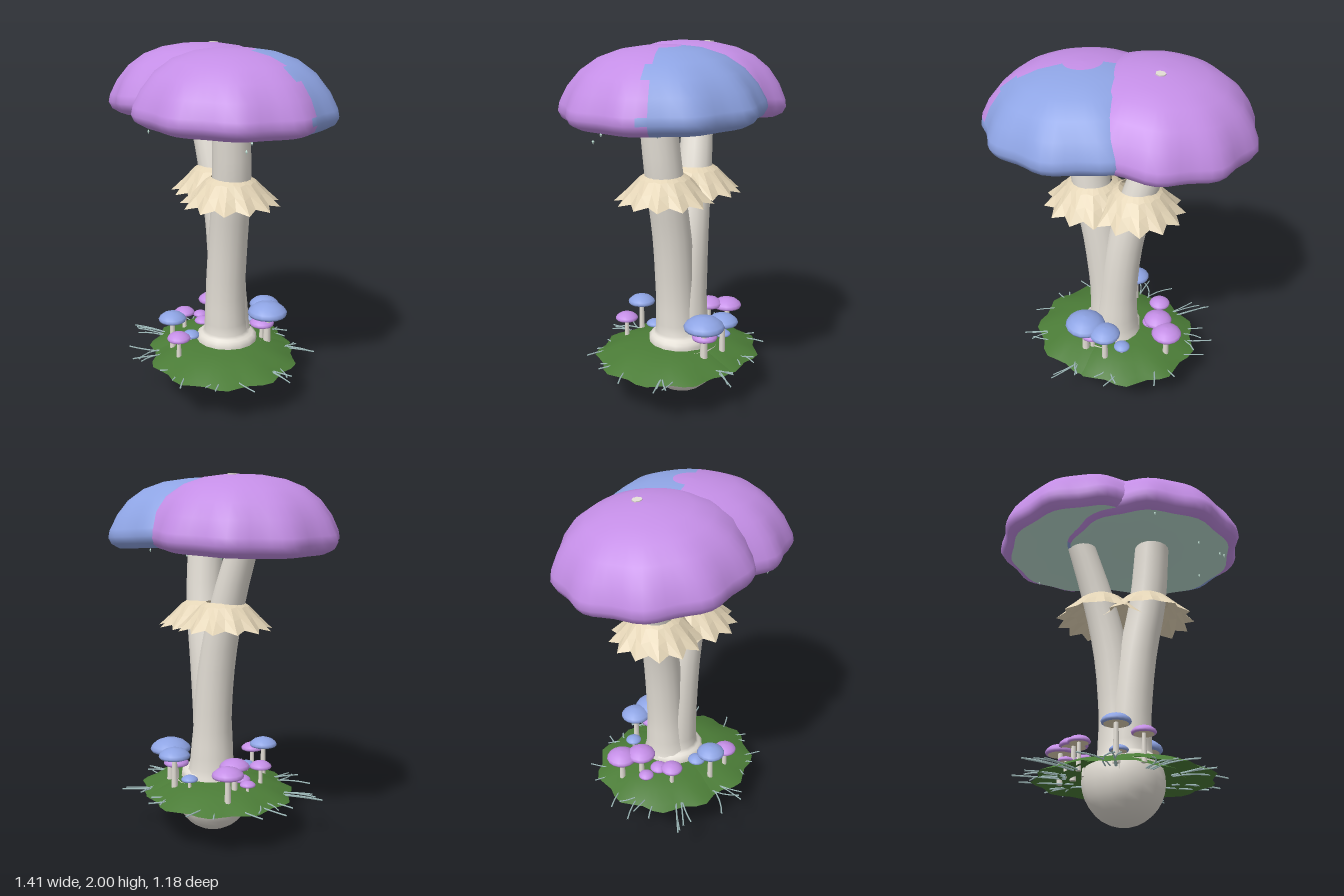
import * as THREE from 'three';

const mat = (name, color, side = THREE.FrontSide) => {
  const m = new THREE.MeshStandardMaterial({ color, side });
  m.name = name;
  return m;
};

export function createModel() {
  const root = new THREE.Group();
  root.name = 'twinMushroom';
  const purple = mat('purpleCap', 0xc48ee6);
  const blue = mat('blueCap', 0x8ea4e4);
  const cream = mat('creamStem', 0xe3ded5);
  const tan = mat('tanSkirt', 0xe3d4b6, THREE.DoubleSide);
  const gill = mat('paleTealGill', 0xbfe0d4);
  const green = mat('mossGreen', 0x4b7c37, THREE.DoubleSide);
  const blade = mat('greyGrass', 0xa4c0c0);

  let seed = 7;
  const rand = () => (seed = (seed * 16807) % 2147483647) / 2147483647;

  const add = (parent, name, geometry, material, x = 0, y = 0, z = 0) => {
    const m = new THREE.Mesh(geometry, material);
    m.name = name;
    m.position.set(x, y, z);
    parent.add(m);
    return m;
  };

  // Closed-around surface: rings run from top to bottom, point(i, angle, j) gives [x, y, z]
  const loft = (rings, segs, point, pick = () => 0) => {
    const pos = [], faces = [[], []];
    for (let i = 0; i < rings; i++)
      for (let j = 0; j < segs; j++) pos.push(...point(i, (j / segs) * Math.PI * 2, j));
    for (let i = 0; i < rings - 1; i++)
      for (let j = 0; j < segs; j++) {
        const a = i * segs + j, b = i * segs + ((j + 1) % segs);
        faces[pick(i, j)].push(a, b, a + segs, b, b + segs, a + segs);
      }
    const g = new THREE.BufferGeometry();
    g.setAttribute('position', new THREE.Float32BufferAttribute(pos, 3));
    g.setIndex([...faces[0], ...faces[1]]);
    g.addGroup(0, faces[0].length, 0);
    g.addGroup(faces[0].length, faces[1].length, 1);
    g.computeVertexNormals();
    return g;
  };

  // Profile of [radius, height] turned around y, with lobes that grow towards the rim
  const lobed = (profile, R, segs, lobes, amp, phase, pick) =>
    loft(profile.length, segs, (i, t) => {
      const [r, y] = profile[i];
      const k = R * r * (1 + amp * r ** 4 * Math.cos(lobes * (t - phase)));
      return [k * Math.cos(t), y, k * Math.sin(t)];
    }, pick);

  // Large caps with gills below
  const dome = [[0.001, 0.378], [0.19, 0.375], [0.42, 0.357], [0.62, 0.32], [0.79, 0.258],
    [0.91, 0.18], [0.985, 0.1], [1, 0.06], [0.97, 0.025], [0.89, 0]];
  const under = [[0.89, 0], [0.6, 0.02], [0.25, 0.03], [0.001, 0.03]];
  const cap = (name, x, y, z, R, phase, tiltX, tiltZ, pick) => {
    const g = new THREE.Group();
    g.name = name;
    g.position.set(x, y, z);
    g.rotation.set(tiltX, 0, tiltZ);
    root.add(g);
    add(g, name + 'Dome', lobed(dome, R, 60, 10, 0.03, phase, pick), pick ? [purple, blue] : purple);
    add(g, name + 'Gills', lobed(under, R, 60, 10, 0.03, phase), gill);
    return g;
  };
  const capA = cap('backCap', -0.182, 1.622, -0.082, 0.506, -1.36, -0.06, 0.07);
  // The blue half starts outside the crown and has a stepped border
  cap('frontCap', 0.165, 1.616, 0.042, 0.53, 1.45, 0.01, -0.03,
    (i, j) => (i > 0 && (j >= 32 || (j === 0 && i % 3 === 0)) ? 1 : 0));
  add(capA, 'capSpot', new THREE.CylinderGeometry(0.027, 0.027, 0.006, 7), cream, 0.036, 0.378, -0.063);

  // Stems: cross-sections [x, y, z, radius] from top to bottom
  const stem = (name, sections) => {
    const curve = new THREE.CatmullRomCurve3(sections.map(s => new THREE.Vector3(...s.slice(0, 3))));
    const n = (sections.length - 1) * 3;
    add(root, name, loft(n + 1, 16, (i, t) => {
      const p = curve.getPoint(i / n), k = Math.min(Math.floor(i / 3), sections.length - 2);
      const r = THREE.MathUtils.lerp(sections[k][3], sections[k + 1][3], i / 3 - k);
      return [p.x + r * Math.cos(t), p.y, p.z + r * Math.sin(t)];
    }), cream);
  };
  stem('frontStem', [[0.168, 1.68, 0.075, 0.1], [0.15, 1.3, 0.04, 0.106], [0.095, 0.95, 0.005, 0.11],
    [0.062, 0.6, -0.01, 0.113], [0.057, 0.385, -0.02, 0.123], [0.055, 0.352, -0.03, 0.172], [0.055, 0.28, -0.03, 0.18]]);
  stem('backStem', [[-0.22, 1.68, -0.11, 0.083], [-0.095, 1.3, -0.1, 0.096], [-0.015, 0.95, -0.085, 0.104],
    [0.02, 0.6, -0.075, 0.11], [0.03, 0.38, -0.065, 0.13], [0.04, 0.28, -0.05, 0.17]]);

  // Round bulb below the ground
  add(root, 'bulb', new THREE.SphereGeometry(0.225, 16, 10, 0, Math.PI * 2, Math.PI * 0.4, Math.PI * 0.6),
    cream, 0.035, 0.24, -0.045).scale.y = 1.06;

  // Ragged skirts around both stems
  const skirt = (name, x, y, z, R) => {
    const prof = [[0.38, 0.15], [0.52, 0.125], [0.74, 0.065], [1, 0]];
    const g = loft(4, 26, (i, t, j) => {
      const notch = (j % 2) * i;
      const r = R * prof[i][0] * (1 - notch * 0.055);
      return [r * Math.cos(t), prof[i][1] + notch * 0.006, r * Math.sin(t)];
    }).toNonIndexed();
    g.clearGroups();
    g.computeVertexNormals();
    add(root, name, g, tan, x, y, z);
  };
  skirt('frontSkirt', 0.14, 1.17, 0.04, 0.275);
  skirt('backSkirt', -0.08, 1.18, -0.1, 0.265);

  // Moss mounds, open below
  const mound = [[0.001, 0.094], [0.45, 0.085], [0.7, 0.058], [0.9, 0.02], [1, 0]];
  add(root, 'frontMoss', lobed(mound, 0.41, 40, 10, 0.045, 0.2), green, 0.08, 0.237, 0.025);
  add(root, 'backMoss', lobed(mound, 0.405, 40, 10, 0.045, 0.5), green, -0.03, 0.237, -0.07);

  // Grass blades fanning out at ground level, in tufts
  for (let k = 0; k < 36; k++) {
    const a = Math.floor(k / 4) * (Math.PI / 4.5) + (rand() - 0.5) * 0.35;
    const bend = (rand() - 0.5) * 0.5, len = 0.84 + rand() * 0.22, lift = rand() * 0.02;
    const at = (s, ang, y) => new THREE.Vector3(0.59 * s * Math.cos(ang), y, -0.01 + 0.5 * s * Math.sin(ang));
    const path = new THREE.QuadraticBezierCurve3(at(0.5, a, 0.24), at(0.75, a, 0.25 + lift), at(len, a + bend, 0.24 + lift * 0.5));
    add(root, 'grassBlade', new THREE.TubeGeometry(path, 5, 0.0045, 4), blade);
  }

  // Small mushrooms: [x, rim height, z, cap radius, material]
  const smallDome = [[0.001, 0.5], [0.35, 0.47], [0.68, 0.35], [0.92, 0.16], [1, 0.02], [0.95, -0.1], [0.82, -0.15]];
  const smallUnder = [[0.82, -0.15], [0.001, -0.04]];
  [
    [0.23, 0.48, -0.19, 0.115, blue], [0.13, 0.475, -0.285, 0.088, blue],
    [-0.14, 0.465, 0.22, 0.08, blue], [-0.08, 0.35, 0.13, 0.052, blue],
    [0.03, 0.355, -0.28, 0.047, blue], [-0.02, 0.405, 0.29, 0.066, purple],
    [0.19, 0.4, -0.19, 0.072, purple], [-0.23, 0.43, -0.29, 0.087, purple],
    [-0.2, 0.445, -0.18, 0.082, purple], [-0.25, 0.405, 0.01, 0.062, purple],
    [-0.26, 0.34, -0.14, 0.044, purple], [-0.18, 0.34, -0.08, 0.052, purple],
  ].forEach(([x, y, z, r, m]) => {
    const g = new THREE.Group();
    g.name = 'smallMushroom';
    g.position.set(x, y, z);
    root.add(g);
    const scaled = p => p.map(([a, b]) => [a, b * r * 1.05]);
    add(g, 'smallCap', lobed(scaled(smallDome), r, 16, 1, 0, 0), m);
    add(g, 'smallGills', lobed(scaled(smallUnder), r, 16, 1, 0, 0), tan);
    const h = y - 0.25;
    add(g, 'smallStem', new THREE.CylinderGeometry(r * 0.16, r * 0.16 + 0.005, h, 8), cream, 0, -h / 2, 0);
  });

  // Tiny spores hanging under the caps
  [[0.5, 1.55, 0.34], [0.5, 1.585, 0.3], [0.33, 1.59, 0.34], [-0.03, 1.6, 0.47], [-0.33, 1.585, -0.5], [0.53, 1.59, 0.02]]
    .forEach(p => { add(root, 'spore', new THREE.OctahedronGeometry(0.007), gill, ...p).scale.y = 1.8; });

  return root;
}
